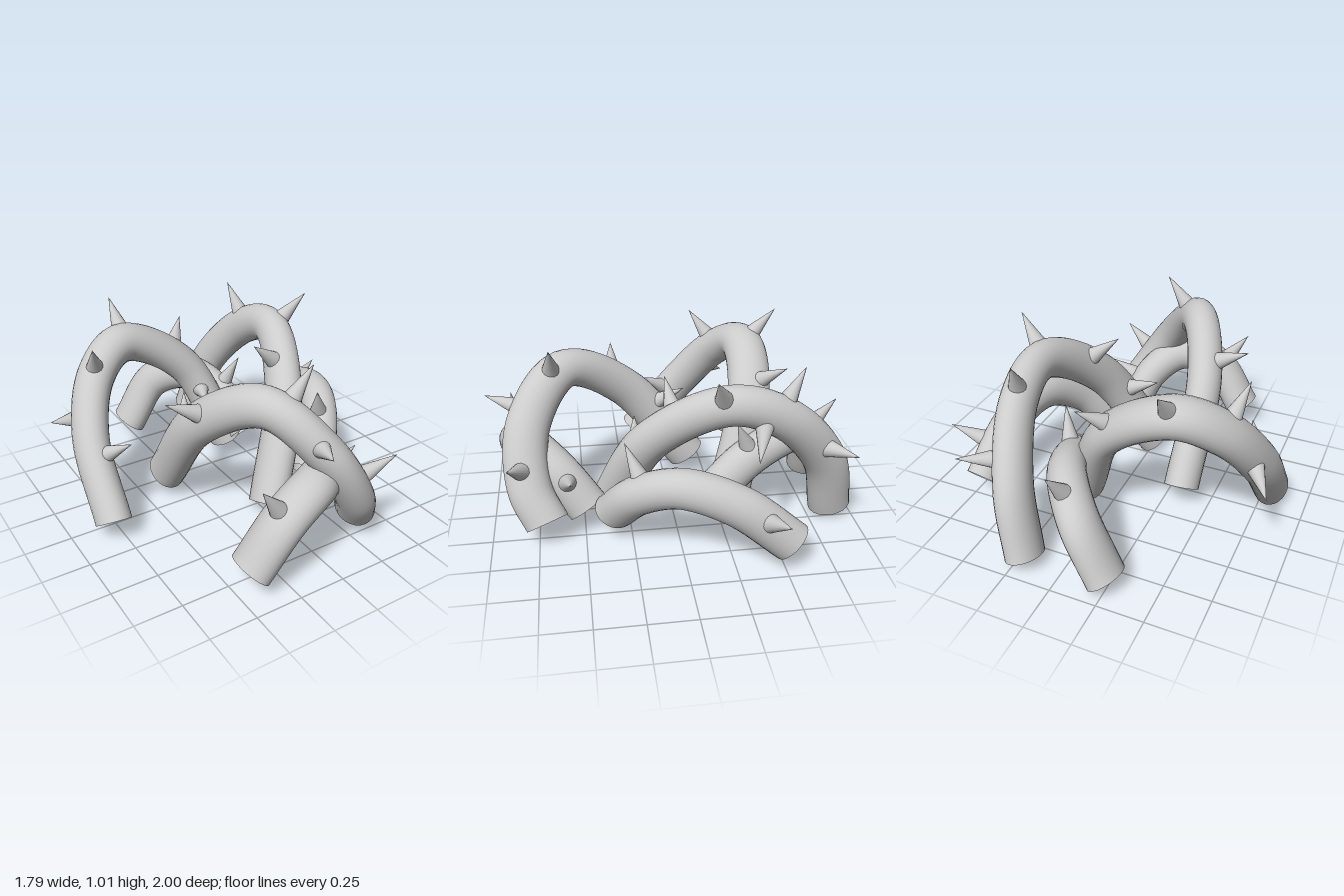
import * as THREE from 'three';

// Stem thickness: half-widths of its oval section along x, y and z.
const OVAL = new THREE.Vector3(0.094, 0.106, 0.12);
const THORN_START = 0.07;
const THORN_HEIGHT = 0.21;
const UP = new THREE.Vector3(0, 1, 0);

const material = new THREE.MeshStandardMaterial({ color: 0xcccccc, side: THREE.DoubleSide });

// Open-ended tube whose vertices are pushed out to the oval thickness.
function makeStem(curve) {
  const geometry = new THREE.TubeGeometry(curve, 64, 0, 24);
  const { position, normal } = geometry.attributes;
  const p = new THREE.Vector3();
  const n = new THREE.Vector3();
  for (let i = 0; i < position.count; i++) {
    n.fromBufferAttribute(normal, i);
    p.fromBufferAttribute(position, i).add(n.clone().multiply(OVAL));
    position.setXYZ(i, p.x, p.y, p.z);
    n.divide(OVAL).normalize();
    normal.setXYZ(i, n.x, n.y, n.z);
  }
  const stem = new THREE.Mesh(geometry, material);
  stem.name = 'stem';
  return stem;
}

// Cone at t along the stem, turned by degrees from its upper side to its right.
function makeThorn(curve, t, degrees) {
  const tangent = curve.getTangent(t);
  const direction = UP.clone().projectOnPlane(tangent).normalize();
  direction.applyAxisAngle(tangent, THREE.MathUtils.degToRad(degrees));
  const geometry = new THREE.ConeGeometry(0.052, THORN_HEIGHT, 16);
  const thorn = new THREE.Mesh(geometry, material);
  thorn.name = 'thorn';
  thorn.position.copy(curve.getPoint(t)).addScaledVector(direction, THORN_START + THORN_HEIGHT / 2);
  thorn.quaternion.setFromUnitVectors(UP, direction);
  return thorn;
}

// An arching stem through a few points, with thorns given as [t, degrees].
function makeVine(name, path, thorns) {
  const vine = new THREE.Group();
  vine.name = name;
  const curve = new THREE.CatmullRomCurve3(path.map((p) => new THREE.Vector3(...p)));
  vine.add(makeStem(curve), ...thorns.map(([t, degrees]) => makeThorn(curve, t, degrees)));
  return vine;
}

export function createModel() {
  const model = new THREE.Group();
  model.name = 'thornyVines';

  model.add(makeVine('rightRearVine',
    [[-0.8, 0.11, 0.11], [-0.775, 0.47, -0.18], [-0.64, 0.72, -0.37], [-0.43, 0.82, -0.475], [-0.07, 0.61, -0.45], [0.13, 0.14, -0.31]],
    [[0.61, -42], [0.4, 17], [0.26, -123], [0.145, 33], [0.755, -45], [0.865, 75]]));

  model.add(makeVine('rearVine',
    [[-0.25, 0.09, -0.88], [-0.085, 0.36, -0.83], [0.07, 0.45, -0.64], [0.16, 0.37, -0.4], [0.2, 0.2, -0.21]],
    [[0.35, -30], [0.72, -10]]));

  model.add(makeVine('tallSideVine',
    [[0.2, 0.07, -0.88], [0.29, 0.42, -0.79], [0.39, 0.73, -0.52], [0.4, 0.82, -0.24], [0.24, 0.575, 0.13], [0, 0.07, 0.35]],
    [[0.26, -78], [0.42, 5], [0.61, -42], [0.47, -140], [0.73, 38], [0.86, 42]]));

  model.add(makeVine('lowSideVine',
    [[0.66, 0.16, -0.53], [0.63, 0.38, -0.25], [0.55, 0.455, 0.02], [0.43, 0.36, 0.22], [0.28, 0.18, 0.34]],
    [[0.14, -58], [0.7, 5]]));

  model.add(makeVine('tallFrontVine',
    [[-0.36, 0.145, -0.14], [-0.34, 0.62, 0.23], [-0.18, 0.815, 0.57], [0.03, 0.6, 0.77], [0.22, 0.31, 0.78], [0.31, 0.15, 0.7]],
    [[0.45, -27], [0.24, 55], [0.13, -25], [0.74, 24], [0.56, 70]]));

  model.add(makeVine('lowFrontVine',
    [[-0.42, 0.13, 0.82], [-0.24, 0.37, 0.84], [-0.03, 0.45, 0.785], [0.12, 0.36, 0.64], [0.2, 0.16, 0.48]],
    [[0.25, 5], [0.83, 50]]));

  return model;
}
